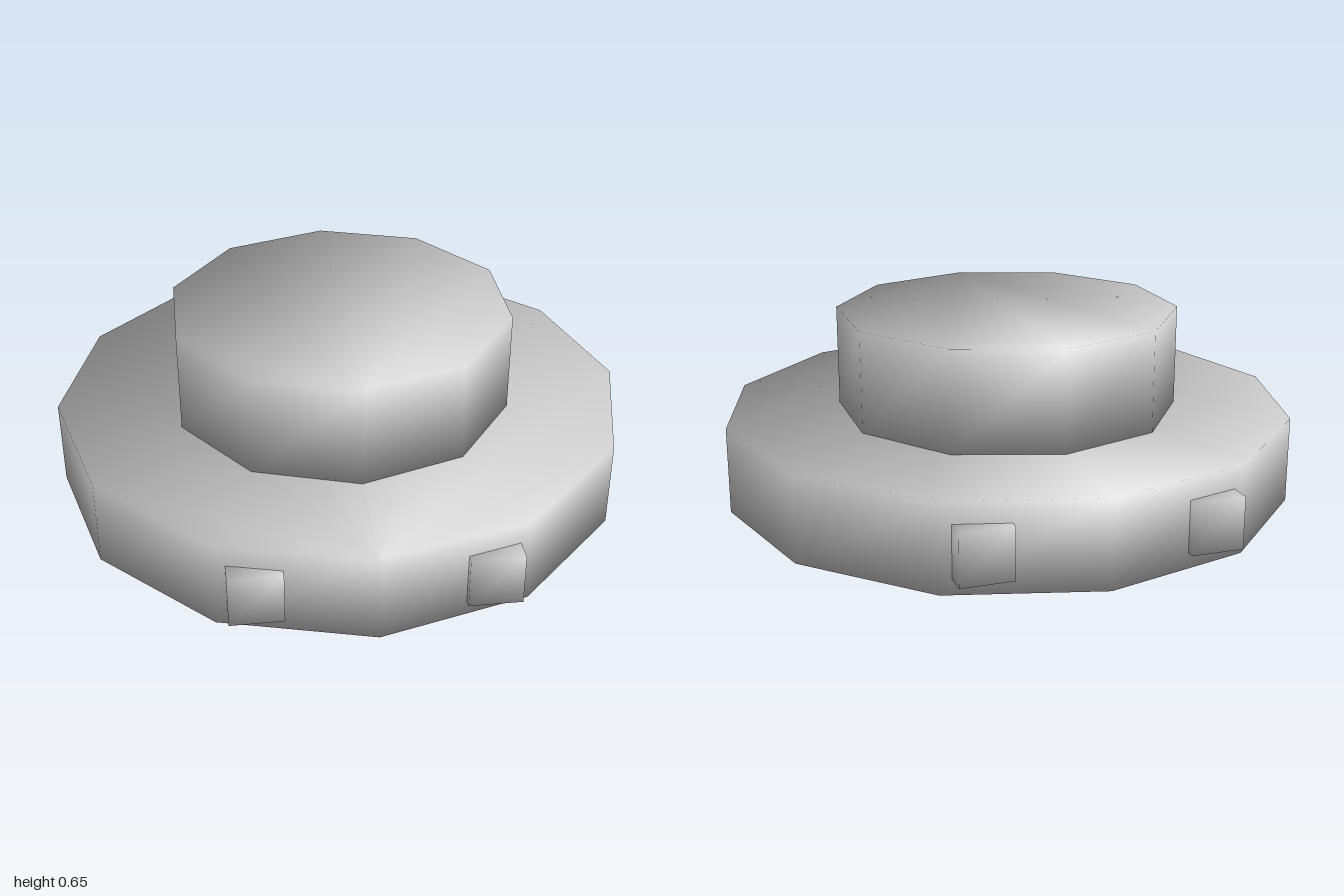
import * as THREE from 'three';

const material = new THREE.MeshStandardMaterial({ color: 0xcccccc });

// Closed prism with shared corners, so shading runs smoothly over its rims.
function smoothPrism(sides, radius, y0, y1) {
  const positions = [], normals = [], index = [];
  const lift = 0.86; // vertical share of each rim normal
  for (let i = 0; i < sides; i++) {
    const a = (i / sides) * Math.PI * 2;
    const s = Math.sin(a), c = Math.cos(a);
    const len = Math.hypot(1, lift);
    positions.push(radius * s, y0, radius * c, radius * s, y1, radius * c);
    normals.push(s / len, -lift / len, c / len, s / len, lift / len, c / len);
    // side wall
    const b = i * 2, n = ((i + 1) % sides) * 2;
    index.push(b, n, n + 1, b, n + 1, b + 1);
    // caps, fanned from the first corner
    if (i > 0 && i < sides - 1) index.push(1, b + 1, n + 1, 0, n, b);
  }
  const geometry = new THREE.BufferGeometry();
  geometry.setAttribute('position', new THREE.Float32BufferAttribute(positions, 3));
  geometry.setAttribute('normal', new THREE.Float32BufferAttribute(normals, 3));
  geometry.setIndex(index);
  return geometry;
}

// Cube whose corner normals point diagonally outward.
function smoothCube(size) {
  const geometry = new THREE.BoxGeometry(size, size, size);
  const p = geometry.attributes.position, v = new THREE.Vector3();
  for (let i = 0; i < p.count; i++) {
    v.fromBufferAttribute(p, i).normalize();
    geometry.attributes.normal.setXYZ(i, v.x, v.y, v.z);
  }
  return geometry;
}

function addPart(group, name, geometry) {
  const mesh = new THREE.Mesh(geometry, material);
  mesh.name = name;
  group.add(mesh);
  return mesh;
}

export function createModel() {
  const group = new THREE.Group();

  // Wide twelve-sided base and narrower ten-sided drum on top
  addPart(group, 'base', smoothPrism(12, 1, 0, 0.3));
  addPart(group, 'drum', smoothPrism(10, 0.6, 0.3, 0.65));

  // Small blocks set into the front and back rim
  const cube = smoothCube(0.175);
  for (const z of [1, -1]) {
    for (const x of [1, -1]) {
      const name = (z > 0 ? 'front' : 'back') + (x > 0 ? 'Left' : 'Right') + 'Block';
      addPart(group, name, cube).position.set(x * 0.375, 0.14, z * 0.8625);
    }
  }
  return group;
}
